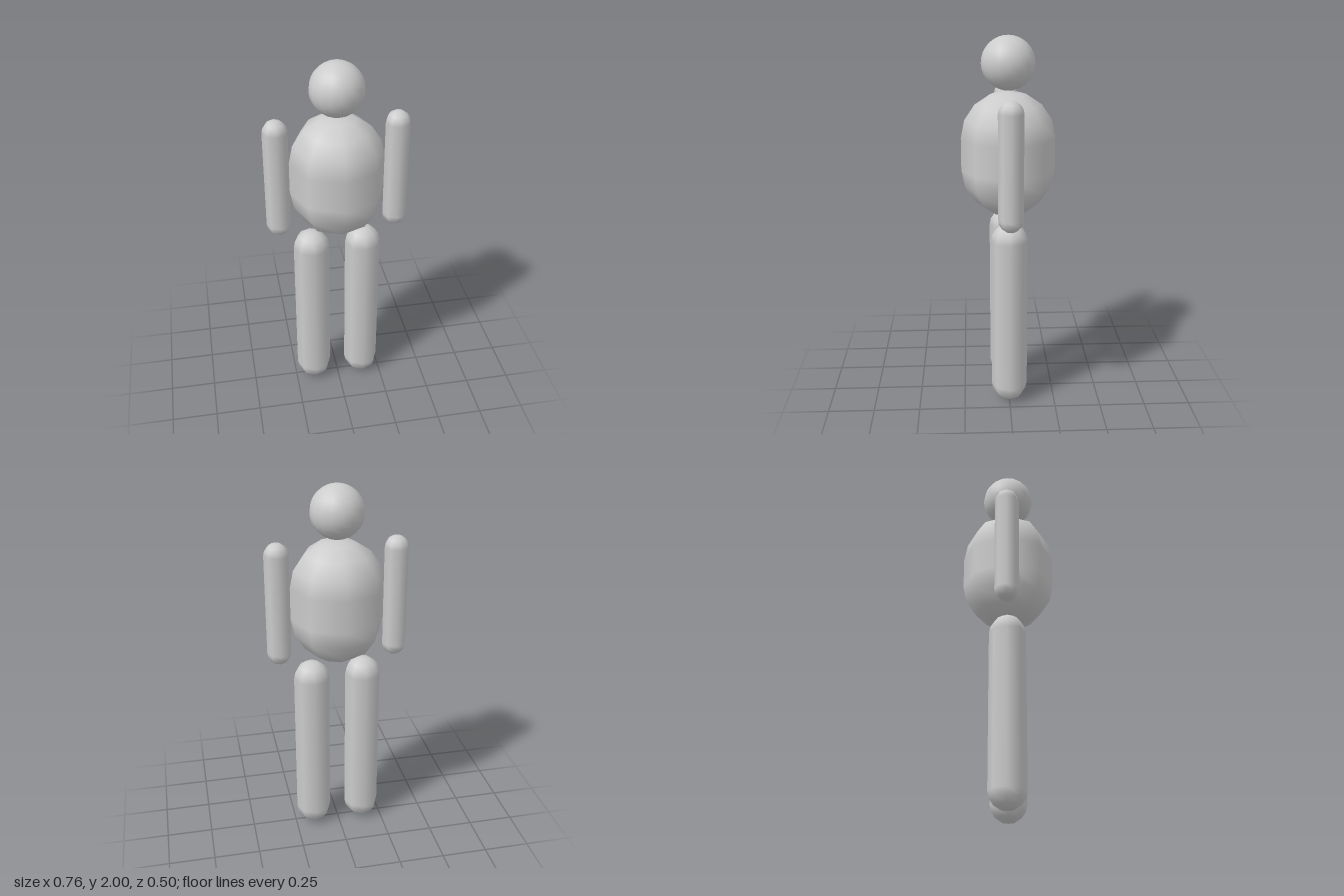
import * as THREE from 'three';

const material = new THREE.MeshStandardMaterial({ color: 0xcccccc });

// Eight-sided smooth capsule spanning bottom..top
function capsule(name, radius, bottom, top, x = 0) {
  const geometry = new THREE.CapsuleGeometry(radius, top - bottom - 2 * radius, 4, 8);
  const mesh = new THREE.Mesh(geometry, material);
  mesh.name = name;
  mesh.position.set(x, (top + bottom) / 2, 0);
  return mesh;
}

export function createModel() {
  const model = new THREE.Group();
  model.name = 'figure';

  // Head
  const head = new THREE.Mesh(new THREE.SphereGeometry(0.141, 16, 16), material);
  head.name = 'head';
  head.position.y = 1.859;
  model.add(head);

  // Torso
  model.add(capsule('torso', 0.25, 1.045, 1.717));

  // Arms and legs, mirrored
  for (const [side, s] of [['left', 1], ['right', -1]]) {
    model.add(capsule(side + 'Arm', 0.065, 1.045, 1.717, s * 0.315));
    model.add(capsule(side + 'Leg', 0.098, 0, 1.038, s * 0.142));
  }
  return model;
}
